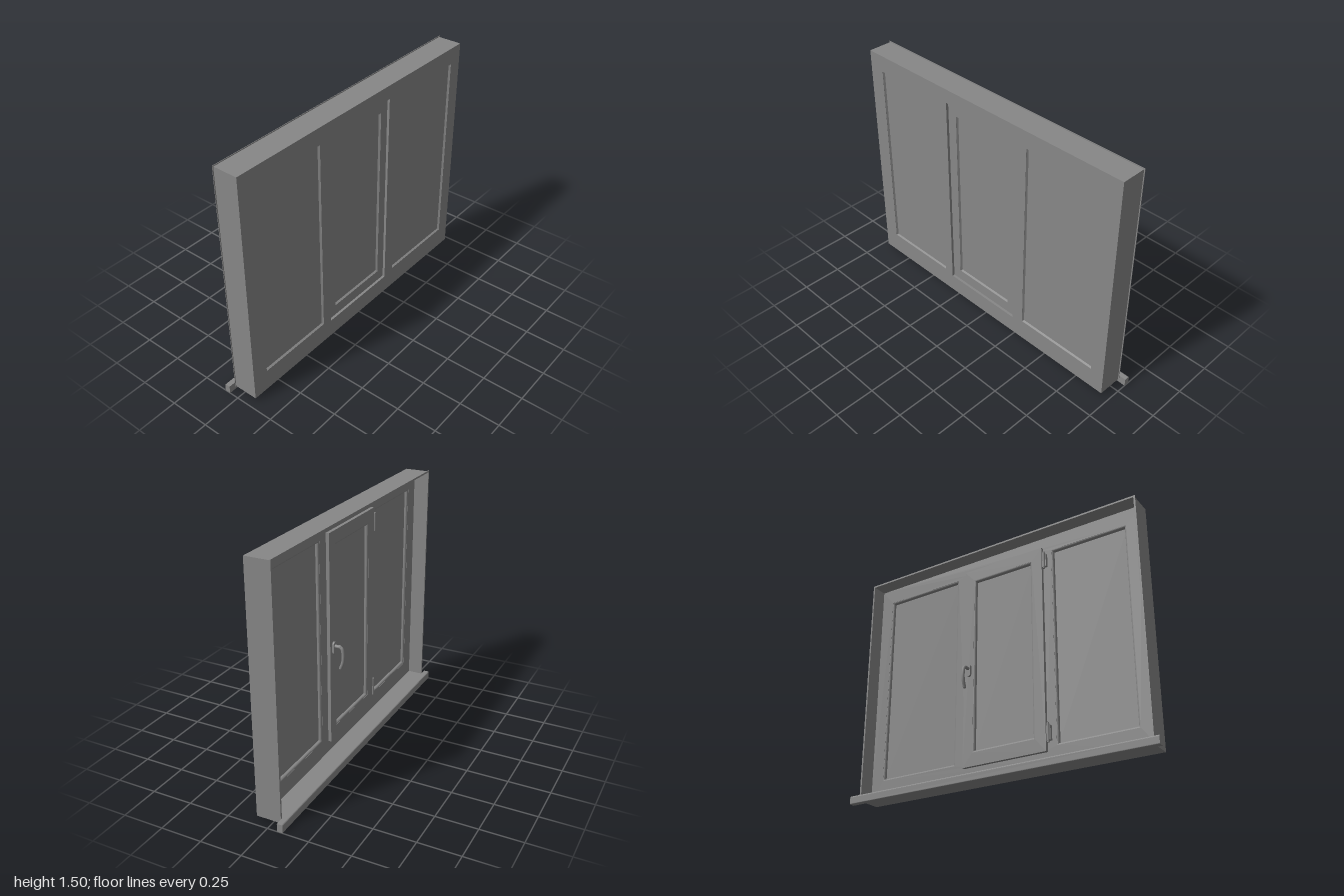
import * as THREE from 'three';

const darkGrey = new THREE.MeshStandardMaterial({ color: 0x878787 });

function add(parent, name, geometry, x = 0, y = 0, z = 0) {
  const m = new THREE.Mesh(geometry, darkGrey);
  m.name = name;
  m.position.set(x, y, z);
  parent.add(m);
  return m;
}

// Box given by its limits on each axis
function block(parent, name, [x0, x1], [y0, y1], [z0, z1]) {
  return add(parent, name, new THREE.BoxGeometry(x1 - x0, y1 - y0, z1 - z0),
    (x0 + x1) / 2, (y0 + y1) / 2, (z0 + z1) / 2);
}

const corners = ([x0, x1, y0, y1], inset = 0) => [
  [x0 + inset, y0 + inset], [x1 - inset, y0 + inset],
  [x1 - inset, y1 - inset], [x0 + inset, y1 - inset],
];

// Flat panel with rectangular openings, between z0 and z1
function panel(parent, name, rect, holes, z0, z1) {
  const toPoints = r => corners(r).map(p => new THREE.Vector2(...p));
  const shape = new THREE.Shape(toPoints(rect));
  for (const h of holes) shape.holes.push(new THREE.Path(toPoints(h).reverse()));
  const g = new THREE.ExtrudeGeometry(shape, { depth: z1 - z0, bevelEnabled: false });
  return add(parent, name, g, 0, 0, z0);
}

// Mitred bead around an opening; profile is [inset, z] from front to back
function bead(parent, name, rect, profile) {
  const pos = [];
  for (let j = 0; j < profile.length - 1; j++) {
    const [i0, z0] = profile[j], [i1, z1] = profile[j + 1];
    const p = corners(rect, i0), q = corners(rect, i1);
    for (let k = 0; k < 4; k++) {
      const n = (k + 1) % 4;
      const a = [...p[k], z0], b = [...p[n], z0], c = [...q[n], z1], d = [...q[k], z1];
      pos.push(...a, ...b, ...c, ...a, ...c, ...d);
    }
  }
  const g = new THREE.BufferGeometry();
  g.setAttribute('position', new THREE.Float32BufferAttribute(pos, 3));
  g.computeVertexNormals();
  return add(parent, name, g);
}

// Glass unit with a sloped bead in front and a rounded bead behind
function glazing(parent, name, rect, zFront, zBack) {
  const [x0, x1, y0, y1] = rect;
  const glassFront = zFront - 0.012, glassBack = zBack + 0.02;
  block(parent, name + 'Glass', [x0, x1], [y0, y1], [glassBack, glassFront]);
  bead(parent, name + 'FrontBead', rect, [[0, zFront - 0.001], [0.006, glassFront]]);
  const rounded = [[0.012, glassBack]];
  for (let k = 0; k <= 4; k++) {
    const a = k * Math.PI / 8;
    rounded.push([0.012 * Math.cos(a), zBack + 0.013 - 0.012 * Math.sin(a)]);
  }
  bead(parent, name + 'BackBead', rect, rounded);
}

export function createModel() {
  const model = new THREE.Group();
  model.name = 'window';

  // Fixed frame with two fixed panes and an opening for the sash
  const outer = [-0.952, 0.952, 0.02, 1.494];
  const panes = { right: [-0.85, -0.356, 0.155, 1.39], left: [0.323, 0.863, 0.155, 1.39] };
  const sashOpening = [-0.292, 0.245, 0.135, 1.409];
  panel(model, 'fixedFrame', outer, [panes.left, panes.right, sashOpening], 0.035, 0.095);
  for (const side in panes) glazing(model, side + 'Pane', panes[side], 0.095, 0.035);

  // Reveal lining behind the frame, with a thin lip on its back edge
  const lining = [-0.947, 0.947, 0.025, 1.489];
  panel(model, 'revealLining', outer, [lining], -0.057, 0.035);
  panel(model, 'liningLip', [-0.958, 0.958, 0.02, 1.5], [lining], -0.06, -0.057);

  // Window board with a rounded nosing
  block(model, 'windowBoard', [-0.947, 0.947], [0.022, 0.05], [-0.06, 0.035]);
  const nose = new THREE.Shape();
  nose.moveTo(0.06, 0);
  nose.lineTo(0.09, 0);
  nose.quadraticCurveTo(0.095, 0, 0.095, 0.006);
  nose.lineTo(0.095, 0.04);
  nose.quadraticCurveTo(0.095, 0.05, 0.085, 0.05);
  nose.lineTo(0.06, 0.05);
  const noseGeometry = new THREE.ExtrudeGeometry(nose, { depth: 2, bevelEnabled: false, curveSegments: 5 });
  noseGeometry.rotateY(Math.PI / 2);
  add(model, 'boardNosing', noseGeometry, -1, 0, 0);

  // Opening sash, overlapping the frame at the back
  const sash = new THREE.Group();
  sash.name = 'sash';
  model.add(sash);
  const sashPane = [-0.23, 0.187, 0.207, 1.34];
  panel(sash, 'sashFrame', [-0.291, 0.244, 0.136, 1.408], [sashPane], 0.034, 0.08);
  panel(sash, 'sashOverlap', [-0.3, 0.255, 0.125, 1.415], [sashPane], 0.014, 0.034);
  glazing(sash, 'sash', sashPane, 0.08, 0.014);

  // Hinges: a barrel with end caps and a leaf on the frame
  for (const [name, y] of [['lowerHinge', 0.23], ['upperHinge', 1.325]]) {
    const hinge = new THREE.Group();
    hinge.name = name;
    hinge.position.set(-0.314, y, 0.016);
    sash.add(hinge);
    add(hinge, 'barrel', new THREE.CylinderGeometry(0.009, 0.009, 0.1, 16));
    for (const s of [-1, 1]) add(hinge, 'cap', new THREE.CylinderGeometry(0.007, 0.007, 0.008, 16), 0, s * 0.053, 0);
    block(hinge, 'leaf', [-0.014, 0.012], [-0.043, 0.043], [0, 0.019]);
  }

  // Handle: rounded plate, neck and a curved lever hanging down
  const handle = new THREE.Group();
  handle.name = 'handle';
  handle.position.set(0.217, 0.725, 0.014);
  sash.add(handle);
  const plate = new THREE.Shape();
  plate.absarc(0, 0.024, 0.015, 0, Math.PI);
  plate.absarc(0, -0.024, 0.015, Math.PI, Math.PI * 2);
  add(handle, 'plate', new THREE.ExtrudeGeometry(plate, { depth: 0.012, bevelEnabled: false }), 0, 0, -0.012);
  const neck = new THREE.CylinderGeometry(0.01, 0.01, 0.04, 16);
  neck.rotateX(Math.PI / 2);
  add(handle, 'neck', neck, 0, 0.012, -0.028);
  const path = new THREE.CatmullRomCurve3([
    [0, 0.014, -0.04], [0, 0.003, -0.055], [0, -0.035, -0.063], [0, -0.08, -0.06], [0, -0.12, -0.046],
  ].map(p => new THREE.Vector3(...p)));
  add(handle, 'lever', new THREE.TubeGeometry(path, 20, 0.01, 12));
  for (const t of [0, 1]) {
    const end = add(handle, 'leverEnd', new THREE.SphereGeometry(0.01, 12, 8));
    end.position.copy(path.getPoint(t));
  }

  return model;
}
